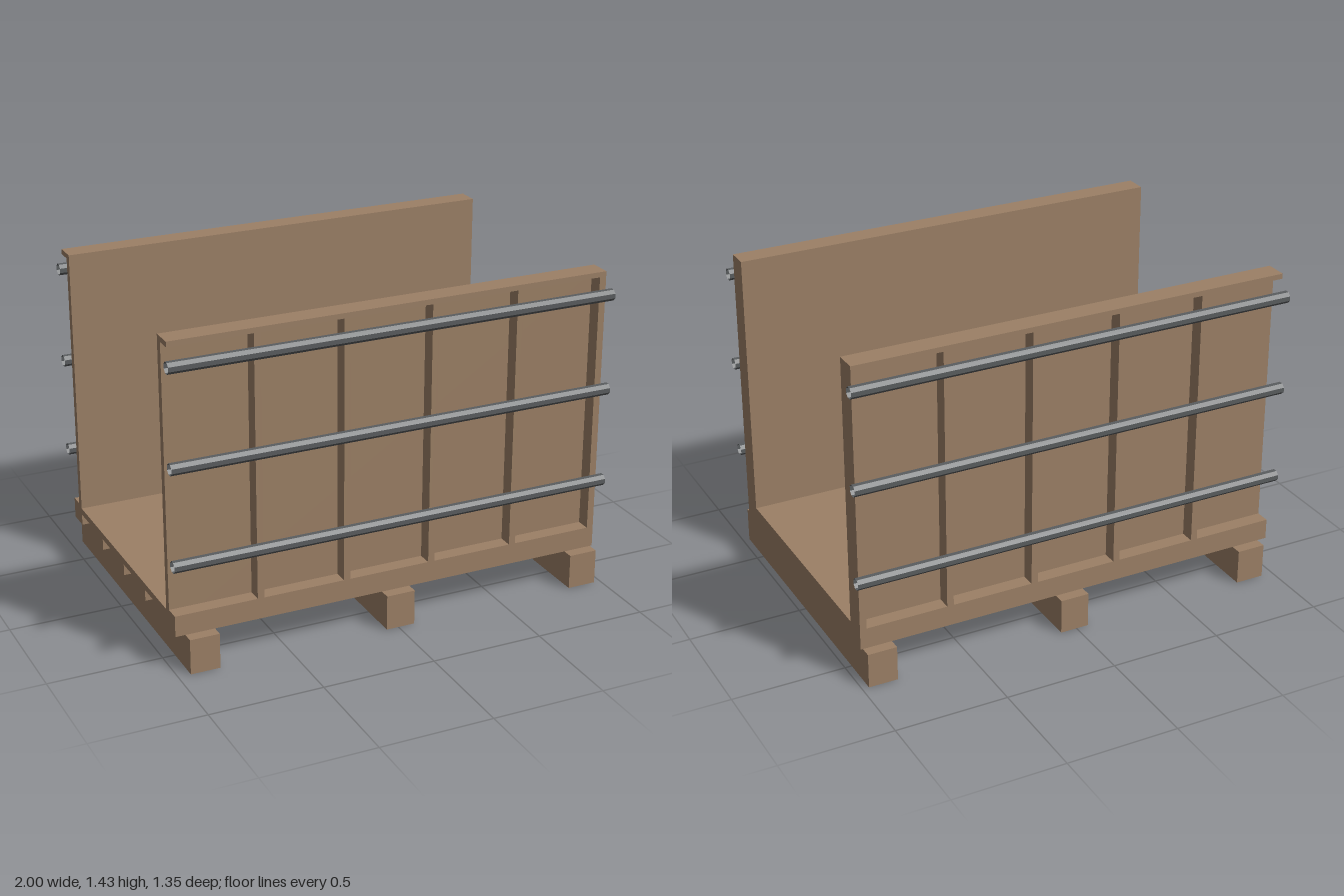
import * as THREE from 'three';

export function createModel() {
  const model = new THREE.Group();
  const wood = new THREE.MeshStandardMaterial({ color: 0x9c8066 });
  wood.name = 'wood';
  const steel = new THREE.MeshStandardMaterial({ color: 0x5a5d5f, flatShading: true, side: THREE.DoubleSide });
  steel.name = 'darkSteel';

  // Box given by its lower and upper corner
  function box(parent, name, x0, x1, y0, y1, z0, z1) {
    const mesh = new THREE.Mesh(new THREE.BoxGeometry(x1 - x0, y1 - y0, z1 - z0), wood);
    mesh.position.set((x0 + x1) / 2, (y0 + y1) / 2, (z0 + z1) / 2);
    mesh.name = name;
    parent.add(mesh);
  }

  const X0 = -0.988, X1 = 0.98, base = 0.157;
  const ribXs = [-0.624, -0.233, 0.163, 0.557, 0.95]; // the last rib closes the +x end, the -x end is open

  // Side walls: thin sheet with rails, ribs and pipes on the outside
  for (const side of [1, -1]) {
    const wall = new THREE.Group();
    wall.name = side > 0 ? 'frontWall' : 'backWall';
    const span = (a, b) => (side > 0 ? [a, b] : [-b, -a]);
    const sheet = span(0.53, 0.562), frame = span(0.562, 0.627);
    box(wall, 'wallSheet', X0, X1, base, 1.433, ...sheet);
    box(wall, 'bottomRail', X0, X1, base, 0.25, ...frame);
    box(wall, 'topRail', X0, X1, 1.41, 1.433, ...frame);
    for (const x of ribXs) box(wall, 'wallRib', x, x + 0.03, 0.25, 1.41, ...frame);
    for (const y of [0.485, 0.91, 1.335]) {
      const tube = new THREE.CylinderGeometry(0.026, 0.026, 2, 8, 1, true);
      tube.rotateY(Math.PI / 8).rotateZ(Math.PI / 2);
      const pipe = new THREE.Mesh(tube, steel);
      pipe.name = 'pipe';
      pipe.position.set(0, y, side * 0.65);
      wall.add(pipe);
    }
    model.add(wall);
  }

  // Floor: sheet over a grid of ribs
  const floor = new THREE.Group();
  floor.name = 'floor';
  box(floor, 'floorSheet', X0, X1, 0.208, 0.238, -0.53, 0.53);
  for (const x of ribXs) box(floor, 'crossRib', x, x + 0.03, base, 0.208, -0.53, 0.53);
  for (const z of [-0.28, -0.01, 0.25, 0.5]) box(floor, 'longRib', X0, X1 - 0.03, base, 0.208, z, z + 0.03);
  model.add(floor);

  // Skids under the floor
  for (const x of [-0.88, 0.01, 0.905]) box(model, 'skid', x - 0.065, x + 0.065, 0, base, -0.677, 0.677);

  return model;
}
